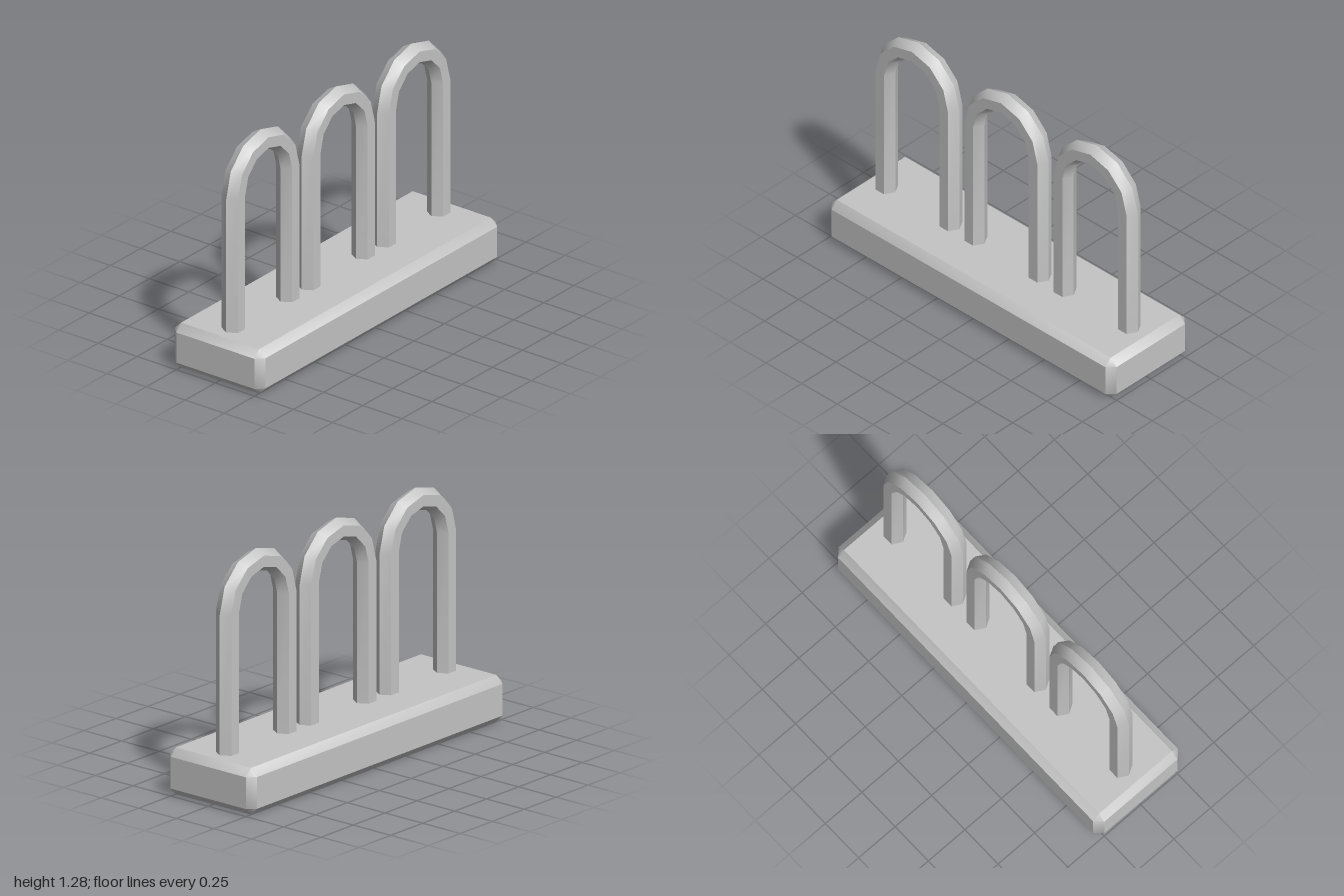
import * as THREE from 'three';
import { toCreasedNormals } from 'three/addons/utils/BufferGeometryUtils.js';

// Indexed faces with shallow folds smoothed and steeper edges kept sharp
function creased(pos, idx) {
  const geo = new THREE.BufferGeometry();
  geo.setAttribute('position', new THREE.Float32BufferAttribute(pos, 3));
  geo.setIndex(idx);
  return toCreasedNormals(geo, 0.7);
}

// Box with chamfered edges and corners
function chamferedBox(w, h, d, c) {
  const half = [w / 2, h / 2, d / 2], pos = [], idx = [];
  const sign = (corner, axis) => ((corner >> axis) & 1 ? 1 : -1);
  for (let face = 0; face < 3; face++) {
    for (let corner = 0; corner < 8; corner++) {
      for (let k = 0; k < 3; k++) pos.push(sign(corner, k) * (half[k] - (k === face ? 0 : c)));
    }
  }
  const point = (i) => new THREE.Vector3().fromArray(pos, i * 3);
  // Each triangle is wound to face away from the centre
  const tri = (a, b, e) => {
    const A = point(a), B = point(b), E = point(e);
    const n = B.clone().sub(A).cross(E.clone().sub(A));
    if (n.dot(A.add(B).add(E)) > 0) idx.push(a, b, e);
    else idx.push(a, e, b);
  };
  const quad = (a, b, e, f) => { tri(a, b, e); tri(a, e, f); };
  for (let a = 0; a < 3; a++) {
    const b = (a + 1) % 3, e = (a + 2) % 3, A = 1 << a, B = 1 << b, E = 1 << e;
    // Flat faces across axis a
    for (const s of [0, A]) quad(a * 8 + s, a * 8 + s + B, a * 8 + s + B + E, a * 8 + s + E);
    // Chamfer strips running along axis a
    for (const s of [0, B, E, B + E]) quad(b * 8 + s, b * 8 + s + A, e * 8 + s + A, e * 8 + s);
  }
  // Corner triangles
  for (let s = 0; s < 8; s++) tri(s, 8 + s, 16 + s);
  return creased(pos, idx);
}

// Hexagonal bar swept up one leg, round a half circle and down the other leg
function archBar(bottom, spring, radius, barRadius) {
  const sides = 6, steps = 6, rings = [[0, bottom]], pos = [], idx = [];
  for (let i = 0; i <= steps; i++) rings.push([(i / steps) * Math.PI, spring]);
  rings.push([Math.PI, bottom]);
  for (const [angle, y] of rings) {
    for (let j = 0; j < sides; j++) {
      const t = (j / sides) * Math.PI * 2;
      const r = radius + barRadius * Math.cos(t);
      pos.push(r * Math.cos(angle), y + r * Math.sin(angle), barRadius * Math.sin(t));
    }
  }
  for (let i = 0; i < rings.length - 1; i++) {
    for (let j = 0; j < sides; j++) {
      const a = i * sides + j, b = i * sides + ((j + 1) % sides);
      idx.push(a, a + sides, b, b, a + sides, b + sides);
    }
  }
  return creased(pos, idx);
}

export function createModel() {
  const group = new THREE.Group();
  const grey = new THREE.MeshStandardMaterial({ color: 0xc4c4c4 });
  grey.name = 'grey';

  // Chamfered base slab
  const base = new THREE.Mesh(chamferedBox(2, 0.25, 0.58, 0.04), grey);
  base.name = 'base';
  base.position.y = 0.125;
  group.add(base);

  // Three hoops in a row
  const hoop = archBar(0.2, 1, 0.225, 0.06);
  ['rightHoop', 'middleHoop', 'leftHoop'].forEach((name, i) => {
    const mesh = new THREE.Mesh(hoop, grey);
    mesh.name = name;
    mesh.position.x = (i - 1) * 0.625;
    group.add(mesh);
  });
  return group;
}
